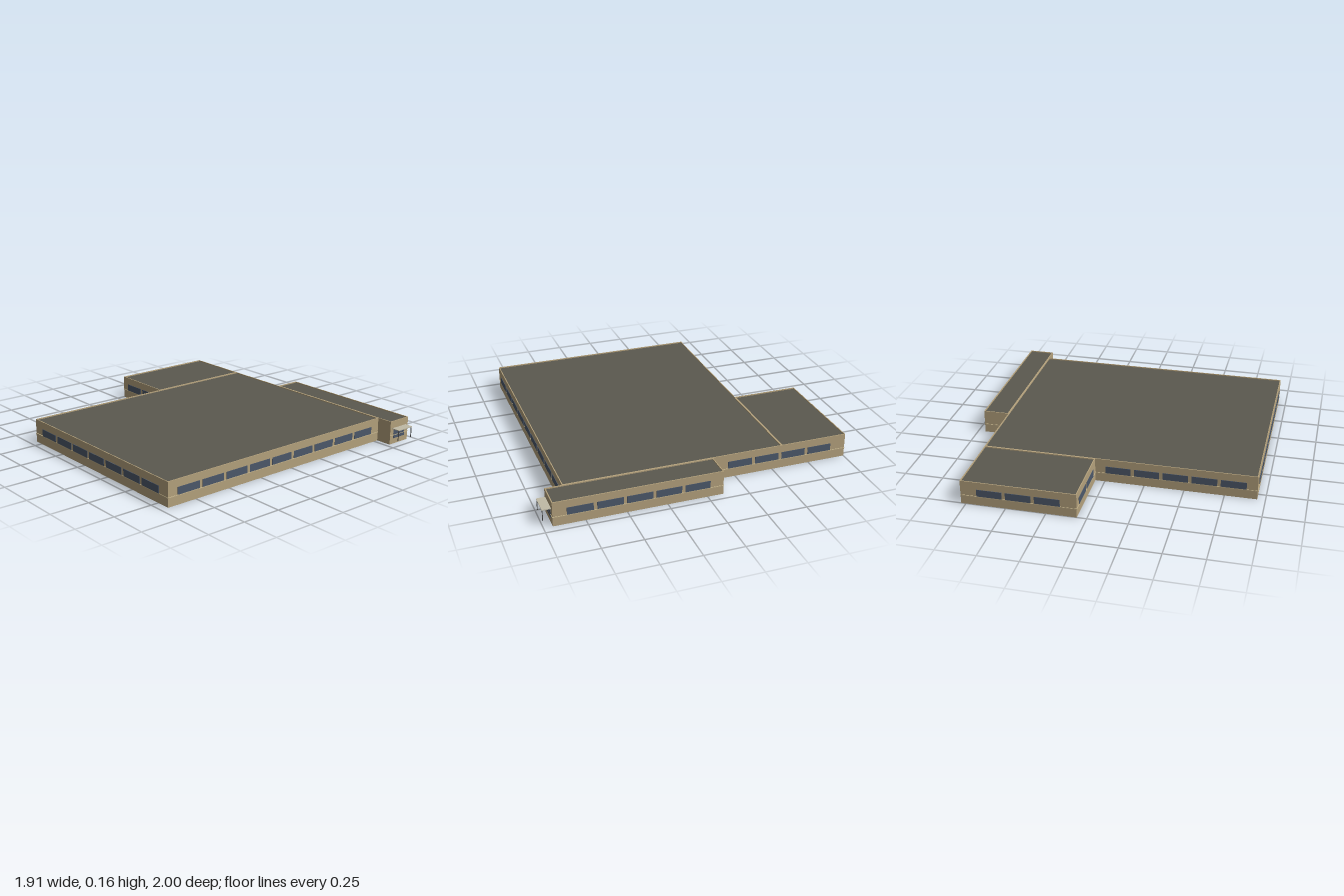
import * as THREE from 'three';

const HEIGHT = 0.155, WALL = 0.006, ROOF = 0.145;
const WIN_W = 0.158, WIN_PITCH = 0.1795, WIN_Y = 0.084, WIN_H = 0.046;

const material = (name, color, extra = {}) => {
  const m = new THREE.MeshStandardMaterial({ color, ...extra });
  m.name = name;
  return m;
};

export function createModel() {
  const wallMat = material('tan wall', 0xb5a27d);
  const roofMat = material('dark roof', 0x5b594f);
  const glassMat = material('blue grey glass', 0x4d596b);
  const trimMat = material('pale trim', 0xc9b88f);
  const canopyMat = material('canopy grey', 0xc0baa6);
  const postMat = material('dark metal', 0x4a4b4c);

  const model = new THREE.Group();
  model.name = 'building';

  const box = (parent, name, mat, size, pos) => {
    const mesh = new THREE.Mesh(new THREE.BoxGeometry(...size), mat);
    mesh.name = name;
    mesh.position.set(...pos);
    parent.add(mesh);
    return mesh;
  };

  const rect = (target, x0, z0, x1, z1) => {
    target.moveTo(x0, -z1);
    target.lineTo(x1, -z1);
    target.lineTo(x1, -z0);
    target.lineTo(x0, -z0);
    target.closePath();
    return target;
  };

  // Hollow wing: a ring of walls, open below, with a roof sunk behind the parapet
  const addWing = (name, x0, z0, x1, z1) => {
    const wing = new THREE.Group();
    wing.name = name;
    const outline = rect(new THREE.Shape(), x0, z0, x1, z1);
    outline.holes.push(rect(new THREE.Path(), x0 + WALL, z0 + WALL, x1 - WALL, z1 - WALL));
    const geo = new THREE.ExtrudeGeometry(outline, { depth: HEIGHT, bevelEnabled: false });
    geo.rotateX(-Math.PI / 2);
    const walls = new THREE.Mesh(geo, wallMat);
    walls.name = name + 'Walls';
    wing.add(walls);
    box(wing, name + 'Roof', roofMat, [x1 - x0 - 2 * WALL, 0.006, z1 - z0 - 2 * WALL],
      [(x0 + x1) / 2, ROOF, (z0 + z1) / 2]);
    model.add(wing);
  };

  addWing('mainHall', -0.95, -0.56, 0.78, 0.84);
  addWing('backWing', 0.06, -1.0, 0.78, -0.56);
  addWing('entranceWing', 0.78, -0.10, 0.95, 0.945);

  // Facade facing local +z: evenly spaced windows and a thin sill course
  const addFacade = (name, x, z, turn, length, count) => {
    const facade = new THREE.Group();
    facade.name = name;
    facade.position.set(x, 0, z);
    facade.rotation.y = turn;
    for (let i = 0; i < count; i++) {
      box(facade, 'window', glassMat, [WIN_W, WIN_H, 0.004],
        [(i - (count - 1) / 2) * WIN_PITCH, WIN_Y, 0.001]);
    }
    box(facade, 'sillCourse', trimMat, [length, 0.004, 0.004], [0, 0.059, 0.001]);
    model.add(facade);
  };

  const Q = Math.PI / 2;
  addFacade('mainFront', -0.085, 0.84, 0, 1.73, 9);
  addFacade('mainSide', -0.95, 0.14, -Q, 1.40, 7);
  addFacade('mainBack', -0.445, -0.56, 2 * Q, 1.01, 5);
  addFacade('backWingSide', 0.06, -0.78, -Q, 0.44, 2);
  addFacade('backWingBack', 0.42, -1.0, 2 * Q, 0.72, 3);
  addFacade('longSide', 0.78, -0.55, Q, 0.90, 4);
  addFacade('entranceWingSide', 0.95, 0.4225, Q, 1.045, 5);
  addFacade('entranceWingBack', 0.865, -0.10, 2 * Q, 0.17, 0);
  addFacade('entranceWingFront', 0.865, 0.945, 0, 0.17, 0);

  // Glazed entrance under a canopy on two slim posts
  const entrance = new THREE.Group();
  entrance.name = 'entrance';
  box(entrance, 'entranceGlass', glassMat, [0.105, 0.056, 0.003], [0.863, 0.065, 0.946]);
  box(entrance, 'canopy', canopyMat, [0.132, 0.005, 0.055], [0.863, 0.105, 0.9725]);
  for (const side of [-1, 1]) {
    box(entrance, 'canopyPost', postMat, [0.004, 0.07, 0.004], [0.863 + side * 0.062, 0.068, 0.996]);
  }
  model.add(entrance);

  return model;
}
